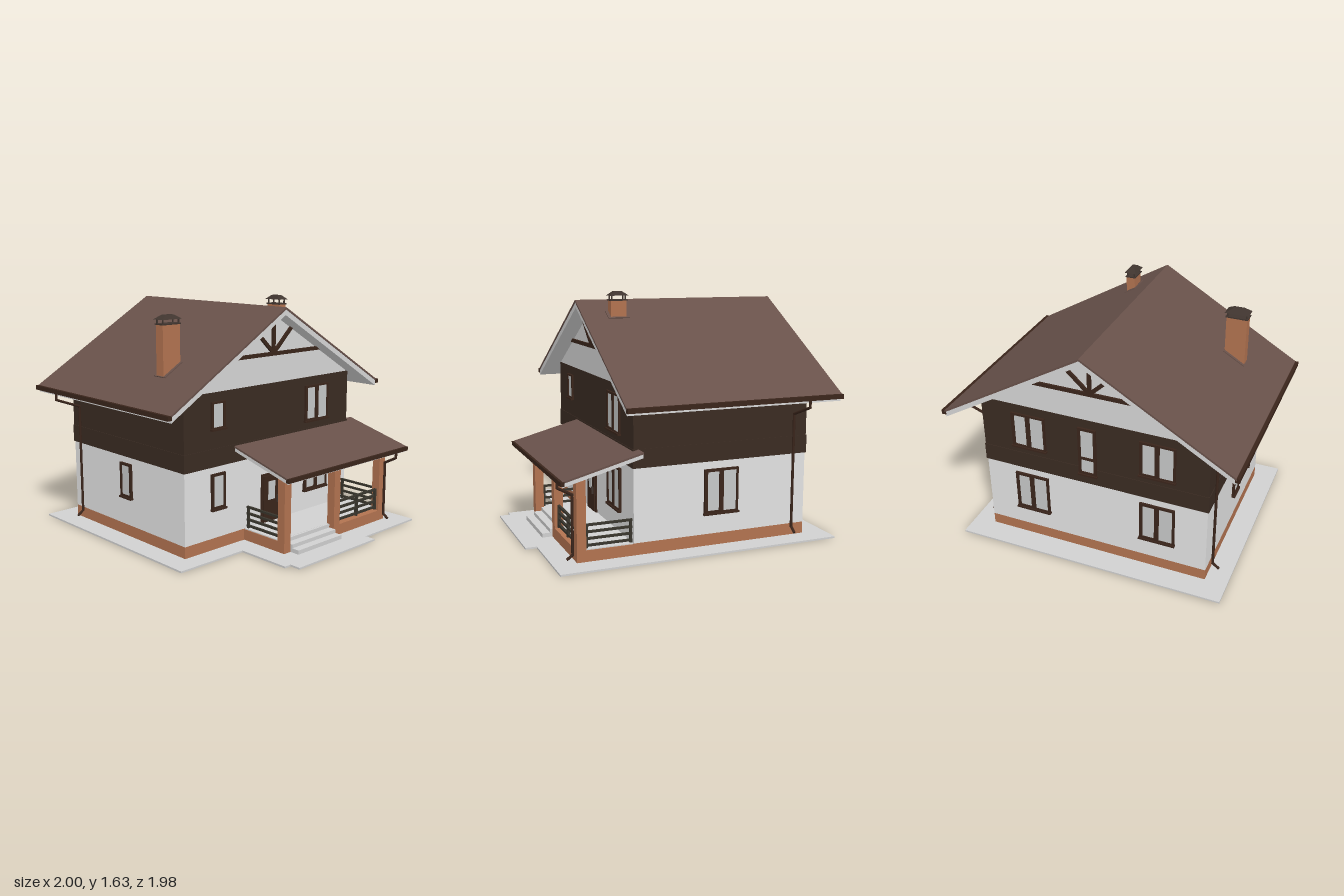
import * as THREE from 'three';

const mat = (name, color, side = THREE.FrontSide) => {
  const m = new THREE.MeshStandardMaterial({ color, side });
  m.name = name;
  return m;
};

export function createModel() {
  const house = new THREE.Group();
  house.name = 'house';
  const plaster = mat('white plaster', 0xe2e2e2);
  const board = mat('pale boards', 0xd6d6d6);
  const cladding = mat('dark cladding', 0x3a2b22);
  const roofing = mat('brown roofing', 0x68514a);
  const brick = mat('brick', 0xb27350);
  const trim = mat('dark brown trim', 0x3a251b);
  const glass = mat('window glass', 0xc6c8c8);
  const concrete = mat('concrete', 0xd0d0d0);
  const metal = mat('dark metal', 0x40352f);
  const railPaint = mat('railing paint', 0x38352c);

  const add = (name, geo, material, parent = house) => {
    const m = new THREE.Mesh(geo, material);
    m.name = name;
    parent.add(m);
    return m;
  };
  // Box given by its limits on each axis
  const box = (name, material, x0, x1, y0, y1, z0, z1, parent = house) => {
    const g = new THREE.BoxGeometry(x1 - x0, y1 - y0, z1 - z0);
    g.translate((x0 + x1) / 2, (y0 + y1) / 2, (z0 + z1) / 2);
    return add(name, g, material, parent);
  };
  const poly = (pts) => new THREE.Shape(pts.map(([x, y]) => new THREE.Vector2(x, y)));
  const extrude = (shape, depth) => new THREE.ExtrudeGeometry(shape, { depth, bevelEnabled: false });
  // Round bar between two points
  const bar = (name, a, b, r, material) => {
    const p = new THREE.Vector3(...a), q = new THREE.Vector3(...b);
    const m = add(name, new THREE.CylinderGeometry(r, r, p.distanceTo(q) + r, 10), material);
    m.position.copy(p).add(q).multiplyScalar(0.5);
    m.quaternion.setFromUnitVectors(new THREE.Vector3(0, 1, 0), q.sub(p).normalize());
  };

  // Paved apron around the house
  const apron = extrude(poly([[-0.93, 0.99], [0.93, 0.99], [0.93, -0.91], [0.39, -0.91], [0.39, -0.985],
    [-0.36, -0.985], [-0.36, -0.91], [-0.41, -0.91], [-0.41, -0.53], [-0.93, -0.53]]), 0.012);
  apron.rotateX(-Math.PI / 2);
  add('apron', apron, concrete);

  // Main walls
  box('plinth', brick, -0.78, 0.78, 0.01, 0.09, -0.83, 0.39);
  box('lowerWalls', plaster, -0.78, 0.78, 0.09, 0.57, -0.83, 0.39);
  box('claddingBand', cladding, -0.787, 0.787, 0.57, 0.69, -0.837, 0.397);
  box('upperWalls', cladding, -0.783, 0.783, 0.69, 1.055, -0.833, 0.393);
  const gable = extrude(poly([[-0.78, 1.05], [0.78, 1.05], [0, 1.525]]), 1.22);
  gable.translate(0, 0, -0.83);
  add('gables', gable, board);

  // Main roof: brown covering over a pale underside
  const roofLayer = (name, top, thick, half, z0, z1, material) => {
    const s = 0.595, e = top - s * half;
    const g = extrude(poly([[-half, e], [-half, e - thick], [0, top - thick], [half, e - thick], [half, e], [0, top]]), z1 - z0);
    g.translate(0, 0, z0);
    add(name, g, material);
  };
  roofLayer('roofCovering', 1.567, 0.014, 0.982, -0.97, 0.51, roofing);
  roofLayer('roofUnderside', 1.553, 0.038, 0.97, -0.965, 0.505, board);

  // Decorative gable trusses, front and back
  for (const [z0, z1] of [[0.39, 0.405], [-0.845, -0.83]]) {
    const beam = extrude(poly([[-0.46, 1.24], [0.46, 1.24], [0.42, 1.265], [-0.42, 1.265]]), z1 - z0);
    beam.translate(0, 0, z0);
    add('trussBeam', beam, trim);
    box('trussPost', trim, -0.012, 0.012, 1.26, 1.505, z0, z1);
    for (const s of [-1, 1]) {
      const brace = new THREE.BoxGeometry(0.024, 0.24, z1 - z0);
      const m = add('trussBrace', brace, trim);
      m.position.set(s * 0.083, 1.335, (z0 + z1) / 2);
      m.rotation.z = -s * 0.81;
    }
  }

  // Gutters and downpipes on both eaves
  for (const s of [-1, 1]) {
    const [a, b] = s > 0 ? [0.97, 1] : [-1, -0.97];
    box('gutter', trim, a, b, 0.955, 0.985, -0.97, 0.51);
    const path = [[0.985, 0.955], [0.985, 0.91], [0.8, 0.84], [0.8, 0.075], [0.84, 0.045]];
    for (let i = 1; i < path.length; i++)
      bar('downpipe', [s * path[i - 1][0], path[i - 1][1], -0.73], [s * path[i][0], path[i][1], -0.73], 0.009, trim);
  }

  // Chimneys: brick shaft, flashing, legs and hipped cap
  const chimney = (x, z, w, d, base, top) => {
    const X = w / 2, Z = d / 2;
    box('chimneyShaft', brick, x - X, x + X, base, top, z - Z, z + Z);
    box('chimneyRim', metal, x - X - 0.006, x + X + 0.006, top, top + 0.008, z - Z - 0.006, z + Z + 0.006);
    for (const i of [-1, 1]) for (const j of [-1, 1]) {
      const lx = x + i * (X - 0.006), lz = z + j * (Z - 0.006);
      box('capLeg', metal, lx - 0.004, lx + 0.004, top, top + 0.035, lz - 0.004, lz + 0.004);
    }
    const cap = new THREE.CylinderGeometry(0.3, Math.SQRT1_2, 0.028, 4).toNonIndexed();
    cap.rotateY(Math.PI / 4);
    cap.scale(w + 0.022, 1, d + 0.022);
    cap.computeVertexNormals();
    add('chimneyCap', cap, metal).position.set(x, top + 0.048, z);
    const f = add('flashing', new THREE.BoxGeometry(w + 0.03, 0.008, d + 0.04), roofing);
    f.position.set(x, 1.569 - 0.595 * Math.abs(x), z);
    f.rotation.z = -Math.sign(x) * Math.atan(0.595);
  };
  chimney(-0.65, 0.09, 0.14, 0.07, 1.05, 1.47);
  chimney(0.16, 0.265, 0.06, 0.11, 1.35, 1.565);

  // Windows: frame with holes, glass plate and sill, placed on a wall
  const walls = { front: [0, 0, 0.39], right: [Math.PI / 2, 0.78, 0], back: [Math.PI, 0, -0.83], left: [-Math.PI / 2, -0.78, 0] };
  const windowUnit = (wall, x, z, w, y0, y1, panes) => {
    const g = new THREE.Group();
    g.name = wall + 'Window';
    const [angle, wx, wz] = walls[wall];
    g.rotation.y = angle;
    g.position.set(wx || x, 0, wz || z);
    house.add(g);
    const h = w / 2;
    const frame = poly([[-h, y0], [h, y0], [h, y1], [-h, y1]]);
    for (const [a, b, c, d] of panes) {
      frame.holes.push(new THREE.Path([[a, c], [a, d], [b, d], [b, c]]
        .map(([u, v]) => new THREE.Vector2(-h + u * w, y0 + v * (y1 - y0)))));
    }
    add('frame', extrude(frame, 0.016), trim, g);
    box('glass', glass, -h + 0.01, h - 0.01, y0 + 0.01, y1 - 0.01, 0, 0.009, g);
    box('sill', trim, -h - 0.005, h + 0.005, y0 - 0.006, y0 + 0.006, 0, 0.025, g);
  };
  const single = [[0.15, 0.85, 0.08, 0.93]];
  const double = [[0.09, 0.43, 0.07, 0.94], [0.56, 0.94, 0.05, 0.95]];
  windowUnit('front', -0.5, 0, 0.12, 0.285, 0.525, single);
  windowUnit('front', -0.5, 0, 0.12, 0.815, 0.995, single);
  windowUnit('front', 0.44, 0, 0.24, 0.235, 0.52, double);
  windowUnit('front', 0.44, 0, 0.24, 0.74, 0.995, double);
  windowUnit('right', 0, -0.21, 0.24, 0.225, 0.52, double);
  windowUnit('left', 0, -0.21, 0.12, 0.285, 0.525, single);
  for (const x of [-0.445, 0.445]) {
    windowUnit('back', x, 0, 0.24, 0.235, 0.52, double);
    windowUnit('back', x, 0, 0.24, 0.74, 0.995, double);
  }
  windowUnit('back', 0.03, 0, 0.125, 0.64, 0.995, [[0.15, 0.85, 0.06, 0.33], [0.15, 0.85, 0.38, 0.95]]);

  // Entrance door
  box('doorFrame', trim, -0.105, 0.07, 0.09, 0.435, 0.385, 0.4);
  box('doorLeaf', trim, -0.09, 0.055, 0.095, 0.42, 0.4, 0.408);
  box('doorGlass', glass, -0.05, 0.015, 0.25, 0.38, 0.404, 0.411);
  box('doorHandle', metal, 0.032, 0.042, 0.22, 0.27, 0.405, 0.42);

  // Porch base, floor and steps
  box('porchBase', brick, -0.2, 0.23, 0.01, 0.085, 0.38, 0.7);
  box('porchBaseLeft', brick, 0.23, 0.78, 0.01, 0.085, 0.38, 0.76);
  box('porchBaseRight', brick, -0.26, -0.2, 0.01, 0.085, 0.38, 0.76);
  box('porchFloor', concrete, -0.255, 0.775, 0.085, 0.091, 0.385, 0.705);
  for (let i = 0; i < 3; i++)
    box('step', concrete, -0.2, 0.23, 0.01, 0.09 - i * 0.025, 0.69, 0.72 + i * 0.055);

  // Porch columns
  for (const x of [-0.23, 0.26, 0.75]) {
    box('porchColumn', brick, x - 0.03, x + 0.03, 0.08, 0.535, 0.7, 0.76);
    box('columnCap', trim, x - 0.01, x + 0.01, 0.535, 0.56, 0.72, 0.74);
  }

  // Porch railings
  for (const y of [0.1, 0.143, 0.186, 0.23]) {
    box('frontRail', railPaint, 0.29, 0.72, y, y + 0.014, 0.722, 0.738);
    for (const x of [-0.23, 0.75]) box('sideRail', railPaint, x - 0.008, x + 0.008, y, y + 0.014, 0.39, 0.7);
  }
  for (const x of [0.298, 0.505, 0.712]) box('frontRailPost', railPaint, x - 0.008, x + 0.008, 0.09, 0.242, 0.72, 0.74);
  for (const x of [-0.23, 0.75]) for (const z of [0.4, 0.69])
    box('sideRailPost', railPaint, x - 0.008, x + 0.008, 0.09, 0.242, z - 0.008, z + 0.008);

  // Porch roof, gutter and downpipe
  const porchLayer = (name, drop, thick, x0, x1, material) => {
    const g = extrude(poly([[0.36, 0.69 - drop - thick], [0.87, 0.556 - drop - thick], [0.87, 0.556 - drop], [0.36, 0.69 - drop]]), x1 - x0);
    g.rotateY(-Math.PI / 2);
    g.translate(x1, 0, 0);
    add(name, g, material);
  };
  porchLayer('porchRoofCovering', 0, 0.012, -0.358, 0.875, roofing);
  porchLayer('porchRoofUnderside', 0.012, 0.026, -0.352, 0.869, board);
  box('porchGutter', trim, -0.358, 0.875, 0.527, 0.555, 0.86, 0.885);
  const spout = [[0.53, 0.872], [0.49, 0.872], [0.44, 0.78], [0.06, 0.78], [0.035, 0.815]];
  for (let i = 1; i < spout.length; i++)
    bar('porchDownpipe', [0.755, ...spout[i - 1]], [0.755, ...spout[i]], 0.009, trim);

  return house;
}
